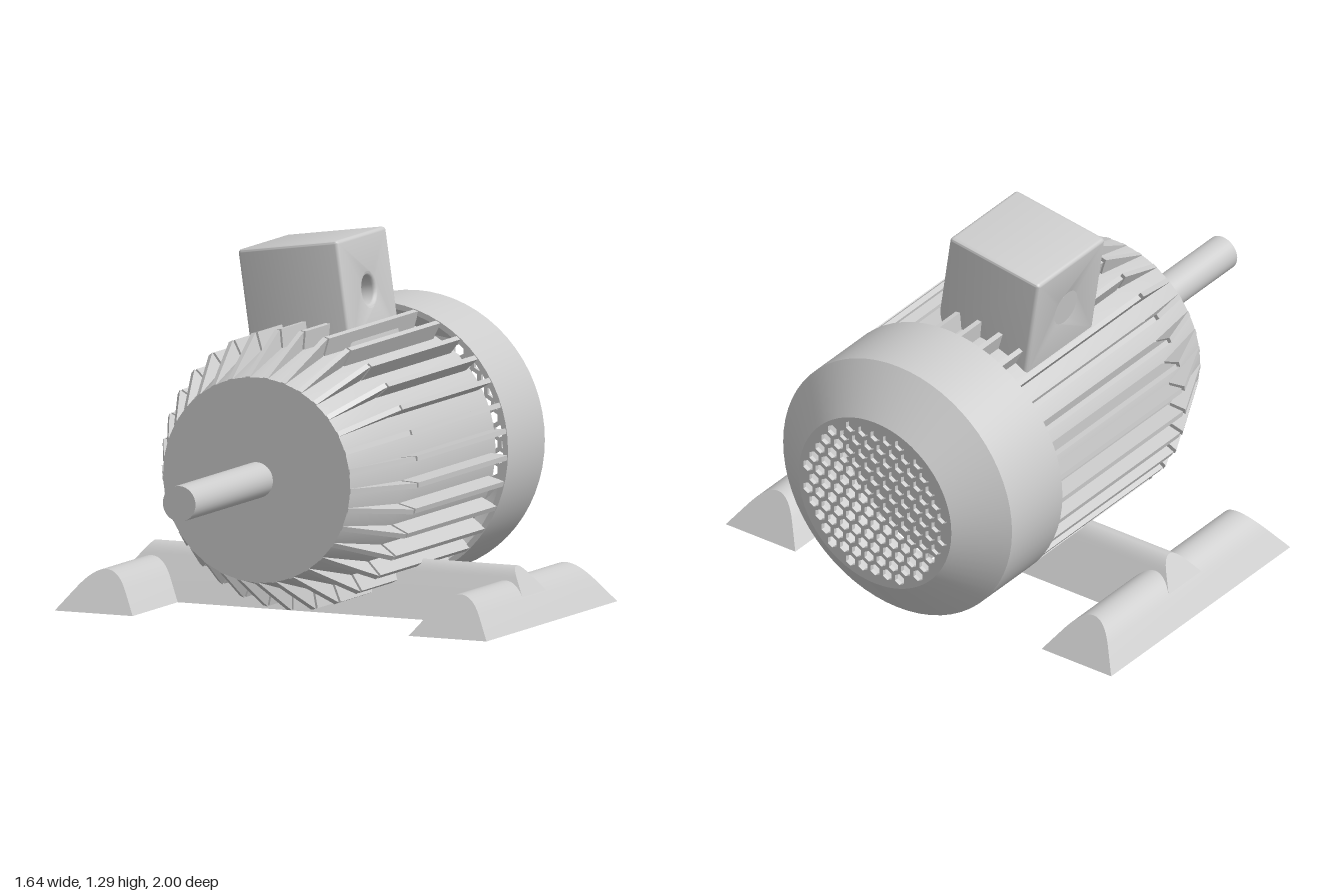
import * as THREE from 'three';
import { toCreasedNormals } from 'three/addons/utils/BufferGeometryUtils.js';

const AXIS_Y = 0.52, FINS = 33;
const material = new THREE.MeshStandardMaterial({ color: 0xcccccc });

function add(parent, name, geometry) {
  const mesh = new THREE.Mesh(geometry, material);
  mesh.name = name;
  parent.add(mesh);
  return mesh;
}

// Solid of revolution about z; points are [radius, z] from back to front
function turned(points, segments = 64) {
  const g = new THREE.LatheGeometry(points.map(p => new THREE.Vector2(...p)), segments);
  g.rotateX(Math.PI / 2);
  return toCreasedNormals(g, 0.4);
}

// Radial plate; outline points are [radius, z]
function finPlate(points, thickness) {
  const shape = new THREE.Shape(points.map(p => new THREE.Vector2(...p)));
  const g = new THREE.ExtrudeGeometry(shape, { depth: thickness, bevelEnabled: false });
  g.translate(0, 0, -thickness / 2);
  g.rotateX(Math.PI / 2);
  return g;
}

// Bar along z with sloping sides, a rounded crest and ends that lean inwards
function slopedBar(halfWidth, height, length) {
  const slope = 0.72, apex = halfWidth / slope;
  const shoulderY = 2 * height - apex, shoulderX = (apex - shoulderY) * slope;
  const shape = new THREE.Shape();
  shape.moveTo(-halfWidth, 0);
  shape.lineTo(halfWidth, 0);
  shape.lineTo(shoulderX, shoulderY);
  shape.quadraticCurveTo(0, apex, -shoulderX, shoulderY);
  shape.closePath();
  const g = new THREE.ExtrudeGeometry(shape, { depth: length, bevelEnabled: false, curveSegments: 16 });
  g.translate(0, 0, -length / 2);
  const p = g.attributes.position;
  for (let i = 0; i < p.count; i++) {
    const z = p.getZ(i);
    p.setZ(i, z - Math.sign(z) * slope * p.getY(i));
  }
  return toCreasedNormals(g, 0.4);
}

// Disc perforated by a honeycomb of six-sided holes
function grilleGeometry(radius, depth) {
  const shape = new THREE.Shape().absarc(0, 0, radius, 0, Math.PI * 2, false);
  const pitch = 0.052, hole = 0.022;
  for (let row = -7; row <= 7; row++) {
    for (let col = -7; col <= 7; col++) {
      const x = (col + (row % 2 ? 0.5 : 0)) * pitch, y = row * pitch * 0.866;
      if (Math.hypot(x, y) > radius - hole - 0.006) continue;
      const corners = [];
      for (let k = 0; k < 6; k++) {
        const a = Math.PI / 6 - k * Math.PI / 3;
        corners.push(new THREE.Vector2(x + hole * Math.cos(a), y + hole * Math.sin(a)));
      }
      shape.holes.push(new THREE.Path(corners));
    }
  }
  return new THREE.ExtrudeGeometry(shape, { depth, bevelEnabled: false, curveSegments: 32 });
}

// Box with softened edges and a blind cable hole in its left (+x) side
function buildTerminalBox() {
  const box = new THREE.Group();
  box.name = 'terminalBox';
  const w = 0.385, bottom = 0.36, top = 0.75, half = 0.193, bevel = 0.014, r = 0.014;
  const shape = new THREE.Shape();
  shape.moveTo(-half, bottom);
  shape.lineTo(half, bottom);
  shape.lineTo(half, top - r);
  shape.quadraticCurveTo(half, top, half - r, top);
  shape.lineTo(-half + r, top);
  shape.quadraticCurveTo(-half, top, -half, top - r);
  shape.closePath();
  shape.holes.push(new THREE.Path().absarc(0, 0.555, 0.05, 0, Math.PI * 2, true));
  const g = new THREE.ExtrudeGeometry(shape, {
    depth: w - 2 * bevel, bevelThickness: bevel, bevelSize: bevel, bevelOffset: -bevel,
    bevelSegments: 3, curveSegments: 12,
  });
  g.translate(0, 0, -w / 2 + bevel);
  g.rotateY(Math.PI / 2);
  add(box, 'terminalBoxHousing', toCreasedNormals(g, 0.6));

  // Fills the bore so that only a shallow recess stays open
  const plug = new THREE.CylinderGeometry(0.0645, 0.0645, w - 0.08, 32);
  plug.rotateZ(Math.PI / 2);
  plug.translate(-0.04, 0.555, 0);
  add(box, 'cableHoleFloor', plug);
  box.position.z = -0.268;
  box.rotation.z = THREE.MathUtils.degToRad(8.3);
  return box;
}

export function createModel() {
  const model = new THREE.Group();
  model.name = 'electricMotor';
  const motor = new THREE.Group();
  motor.name = 'motor';
  motor.position.y = AXIS_Y;
  model.add(motor);

  // Core with tapered front end, and the shaft
  add(motor, 'motorCore', turned([[0, -0.62], [0.42, -0.62], [0.42, 0.13], [0.355, 0.39], [0, 0.39]]));
  add(motor, 'shaft', turned([[0, 0.3], [0.062, 0.3], [0.062, 1], [0, 1]], 32));

  // Cooling fins around the body and the tapered end
  const bodyFin = finPlate([[0.4, -0.585], [0.484, -0.585], [0.484, 0.117], [0.4, 0.117]], 0.018);
  const endFin = finPlate([[0.33, 0.132], [0.485, 0.132], [0.357, 0.39], [0.33, 0.39]], 0.018);
  const fins = new THREE.Group();
  fins.name = 'coolingFins';
  for (let i = 0; i < FINS; i++) {
    const angle = -Math.PI / 2 + (i / FINS) * Math.PI * 2;
    add(fins, 'bodyFin', bodyFin).rotation.z = angle;
    add(fins, 'endFin', endFin).rotation.z = angle;
  }
  motor.add(fins);

  // Hollow fan cowl with a perforated back
  add(motor, 'fanCowl', turned([
    [0.325, -1], [0.487, -0.87], [0.487, -0.58], [0.468, -0.58], [0.468, -0.862], [0.315, -0.985], [0.325, -1],
  ]));
  add(motor, 'fanGrille', grilleGeometry(0.325, 0.016)).position.z = -1;

  motor.add(buildTerminalBox());

  // Base: two side rails joined by a cross beam
  const base = new THREE.Group();
  base.name = 'base';
  base.position.z = -0.235;
  const rail = slopedBar(0.148, 0.14, 1.03);
  for (const side of [-1, 1]) add(base, side > 0 ? 'leftRail' : 'rightRail', rail).position.x = side * 0.672;
  add(base, 'crossBeam', slopedBar(0.16, 0.185, 1.638)).rotation.y = Math.PI / 2;
  model.add(base);

  return model;
}
